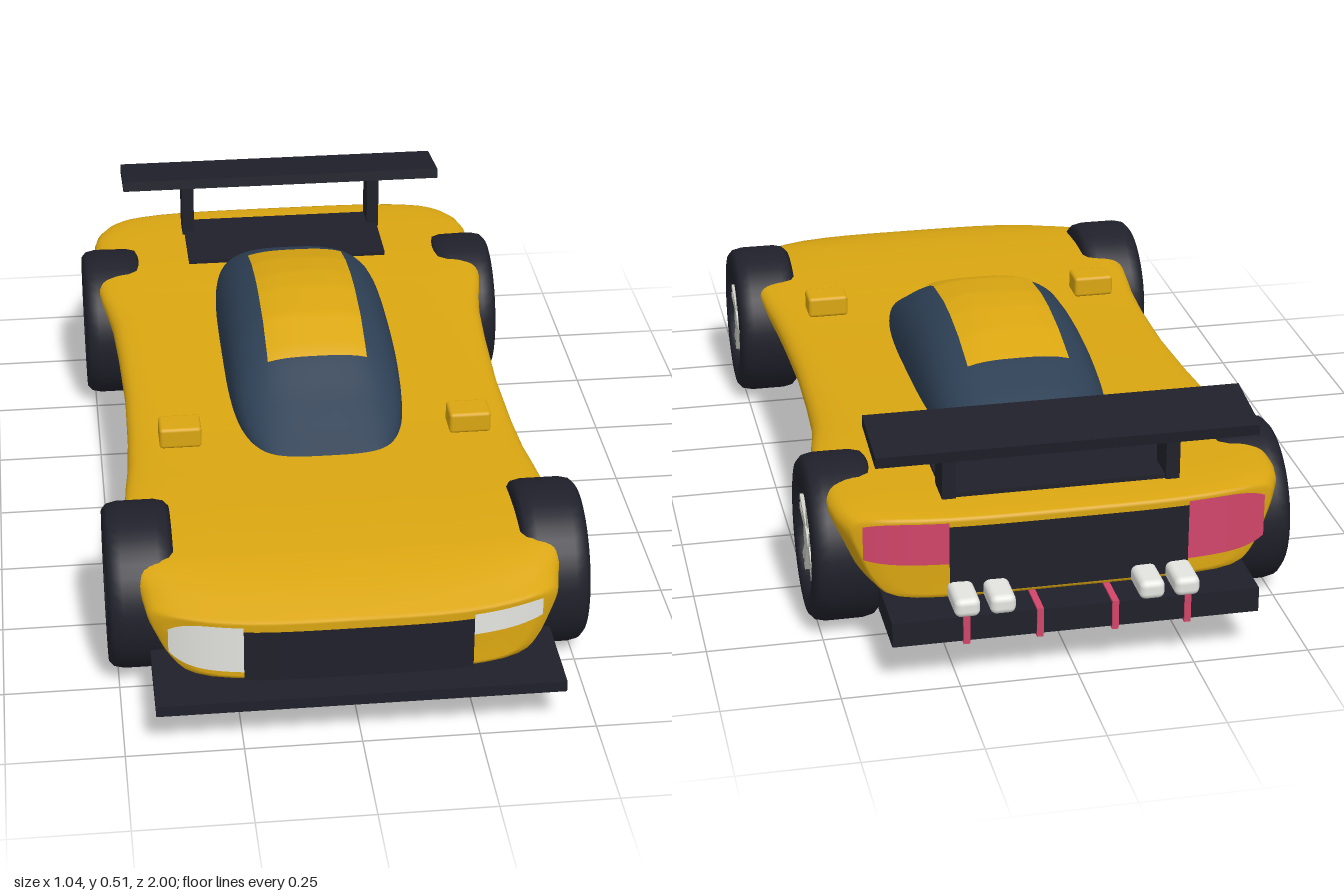
import * as THREE from 'three';
import { RoundedBoxGeometry } from 'three/addons/geometries/RoundedBoxGeometry.js';

const paint = (name, color) => {
  const m = new THREE.MeshStandardMaterial({ color });
  m.name = name;
  return m;
};
const yellow = paint('yellow paint', 0xdaa611);
const dark = paint('dark trim', 0x20202b);
const glass = paint('tinted glass', 0x2d3f54);
const white = paint('lamp white', 0xe4e4e0);
const metal = paint('wheel metal', 0xc8c8c0);
const pink = paint('pink red', 0xd2456a);

function add(parent, name, geo, mat, x = 0, y = 0, z = 0) {
  const m = new THREE.Mesh(geo, mat);
  m.name = name;
  m.position.set(x, y, z);
  parent.add(m);
  return m;
}
const box = (w, h, d) => new THREE.BoxGeometry(w, h, d);

// A grid whose vertices are placed by f(u, v) -> [x, y, z]
function sheet(nu, nv, f) {
  const g = new THREE.PlaneGeometry(1, 1, nu, nv);
  const p = g.attributes.position;
  for (let i = 0; i < p.count; i++) p.setXYZ(i, ...f(p.getX(i) + 0.5, p.getY(i) + 0.5));
  g.computeVertexNormals();
  return g;
}

// Linear lookup in a list of [key, value] with rising keys
function lookup(list, k) {
  for (let i = 1; i < list.length; i++) {
    const [a, va] = list[i - 1], [b, vb] = list[i];
    if (k <= b) return va + (vb - va) * Math.max(0, (k - a) / (b - a));
  }
  return list[list.length - 1][1];
}

// Body ends curve back towards the corners
const NOSE = 0.937, TAIL = -0.912;
const noseZ = (x) => NOSE - 2.5 * x ** 4;
const tailZ = (x) => TAIL + 1.2 * x ** 4;

function bodyGeometry() {
  // [z, half width, bottom, top]
  const rows = [
    [-0.905, 0.455, 0.16, 0.342], [-0.86, 0.475, 0.165, 0.348], [-0.78, 0.483, 0.18, 0.35],
    [-0.62, 0.485, 0.21, 0.35], [-0.52, 0.483, 0.2, 0.348], [-0.46, 0.475, 0.185, 0.345],
    [-0.4, 0.464, 0.155, 0.342], [-0.33, 0.455, 0.14, 0.339], [-0.2, 0.448, 0.138, 0.333],
    [0, 0.442, 0.138, 0.325], [0.2, 0.446, 0.138, 0.32], [0.32, 0.452, 0.142, 0.32],
    [0.4, 0.46, 0.16, 0.321], [0.47, 0.465, 0.19, 0.322], [0.62, 0.465, 0.21, 0.322],
    [0.74, 0.463, 0.185, 0.316], [0.82, 0.455, 0.15, 0.303], [0.88, 0.447, 0.135, 0.287],
    [0.925, 0.438, 0.128, 0.268],
  ];
  const half = new THREE.SplineCurve([
    [0, 0], [0.5, 0], [0.8, 0.02], [0.9, 0.2], [0.96, 0.5], [1, 0.77],
    [0.985, 0.9], [0.93, 0.97], [0.8, 1], [0.4, 1], [0, 1],
  ].map(([x, y]) => new THREE.Vector2(x, y))).getPoints(30);
  const loop = [...half, ...half.slice(1, -1).reverse().map((p) => new THREE.Vector2(-p.x, p.y))];
  // Shrinking rings close both ends
  const first = rows[0], last = rows[rows.length - 1];
  const caps = [0.98, 0.9, 0.75, 0.5, 0.25, 0.001];
  const rings = [
    ...caps.slice().reverse().map((s) => [TAIL, ...first.slice(1), s]),
    ...rows.map((r) => [...r, 1]),
    ...caps.map((s) => [NOSE, ...last.slice(1), s]),
  ];
  const pos = [], idx = [], n = loop.length;
  rings.forEach(([z, w, b, t, s], i) => {
    const mid = (b + t) / 2;
    const blend = THREE.MathUtils.smoothstep(Math.abs(z), 0.72, 0.91);
    loop.forEach((p, j) => {
      const x = p.x * w * s;
      const bend = (z > 0 ? -2.5 : 1.2) * x ** 4 * blend;
      pos.push(x, mid + (b + (t - b) * p.y - mid) * s, z + bend);
      if (i === rings.length - 1) return;
      const a = i * n + j, c = i * n + (j + 1) % n;
      idx.push(a, c, c + n, a, c + n, a + n);
    });
  });
  const g = new THREE.BufferGeometry();
  g.setAttribute('position', new THREE.Float32BufferAttribute(pos, 3));
  g.setIndex(idx);
  g.computeVertexNormals();
  return g;
}

// Cabin height and width along z
const BASE = 0.305, MIDZ = -0.1425, HALF = 0.5175;
const ridge = [[-0.66, 0.335], [-0.6, 0.378], [-0.5, 0.424], [-0.4, 0.463], [-0.3, 0.49],
  [-0.2, 0.504], [-0.12, 0.506], [0, 0.493], [0.1, 0.456], [0.2, 0.4], [0.3, 0.348], [0.375, 0.31]];
const cabinTop = (z) => lookup(ridge, z) - BASE;
const cabinHalf = (z) => 0.203 * Math.max(0, 1 - Math.abs((z - MIDZ) / HALF) ** 3.5) ** (1 / 3.5);

// Thin panel on the nose (dir 1) or tail (dir -1), rounded at its outer end
function endPanel(x0, x1, y0, y1, dir, round = 0) {
  const outer = Math.max(Math.abs(x0), Math.abs(x1));
  const inner = x0 * x1 < 0 ? 0 : Math.min(Math.abs(x0), Math.abs(x1));
  return sheet(16, 6, (u, v) => {
    const x = x0 + (x1 - x0) * (dir > 0 ? u : 1 - u);
    const t = Math.max(0, (Math.abs(x) - inner) / (outer - inner));
    const cut = round * (y1 - y0) * t ** 5;
    const y = y0 + cut + (y1 - y0 - 2 * cut) * v;
    return [x, y, dir > 0 ? noseZ(x) + 0.005 : tailZ(x) - 0.005];
  });
}

function makeWheel() {
  const wheel = new THREE.Group();
  const profile = [[0.118, -0.07], [0.165, -0.073], [0.177, -0.062], [0.182, -0.04], [0.182, 0.04],
    [0.177, 0.062], [0.165, 0.073], [0.124, 0.073], [0.118, 0.05], [0.118, -0.07]];
  const tyre = new THREE.LatheGeometry(profile.map((p) => new THREE.Vector2(...p)), 40);
  add(wheel, 'tyre', tyre.rotateZ(-Math.PI / 2), dark);
  const drum = new THREE.CylinderGeometry(0.12, 0.12, 0.1, 32).rotateZ(Math.PI / 2);
  add(wheel, 'wheelBack', drum, dark, -0.006);
  add(wheel, 'brakeCaliper', new RoundedBoxGeometry(0.016, 0.055, 0.06, 2, 0.007), pink, 0.046, 0.066, -0.048);
  for (const x of [0.058, -0.06]) {
    for (let i = 0; i < 5; i++) {
      for (const s of [-1, 1]) {
        const spoke = box(0.012, 0.098, 0.015).translate(0, 0.066, 0).rotateX(s * 0.12);
        add(wheel, 'spoke', spoke.rotateX(i * Math.PI * 0.4), metal, x);
      }
    }
    add(wheel, 'hub', new THREE.CylinderGeometry(0.026, 0.026, 0.02, 20).rotateZ(Math.PI / 2), metal, x);
  }
  return wheel;
}

export function createModel() {
  const car = new THREE.Group();
  car.name = 'raceCar';
  add(car, 'body', bodyGeometry(), yellow);

  // Underside and aero plates
  add(car, 'floor', box(0.72, 0.035, 1.66), dark, 0, 0.122, 0);
  add(car, 'chassis', box(0.64, 0.09, 1.62), dark, 0, 0.18, 0);
  add(car, 'frontSplitter', box(0.865, 0.025, 0.21), dark, 0, 0.108, 0.895);
  add(car, 'diffuser', box(0.78, 0.055, 0.17), dark, 0, 0.128, -0.903);
  add(car, 'rearDeck', box(0.5, 0.03, 0.24), dark, 0, 0.344, -0.705);

  // Nose and tail panels
  add(car, 'grille', endPanel(-0.243, 0.243, 0.128, 0.248, 1), dark);
  add(car, 'rightHeadlight', endPanel(-0.398, -0.243, 0.148, 0.258, 1, 0.25), white);
  add(car, 'leftHeadlight', endPanel(0.243, 0.398, 0.208, 0.258, 1, 0.1), white);
  add(car, 'tailPanel', endPanel(-0.255, 0.255, 0.17, 0.325, -1), dark);
  add(car, 'rightTailLight', endPanel(-0.43, -0.255, 0.2, 0.334, -1, 0.15), pink);
  add(car, 'leftTailLight', endPanel(0.255, 0.43, 0.24, 0.334, -1, 0.1), pink);

  // Glass cabin and roof panel
  add(car, 'cabin', sheet(40, 60, (u, v) => {
    const z = MIDZ + HALF * Math.cos(Math.PI * v);
    const a = Math.PI * (1 - u), c = Math.cos(a);
    return [cabinHalf(z) * Math.sign(c) * Math.abs(c) ** (2 / 3),
      BASE + cabinTop(z) * Math.abs(Math.sin(a)) ** (2 / 3), z];
  }), glass);
  add(car, 'roofPanel', sheet(12, 40, (u, v) => {
    const x = -0.115 + 0.23 * u, z = 0.12 - 0.525 * v;
    return [x, BASE + cabinTop(z) * (1 - Math.abs(x / cabinHalf(z)) ** 3) ** (1 / 3) + 0.005, z];
  }), yellow);

  // Rear wing
  add(car, 'wing', box(0.81, 0.025, 0.165), dark, 0, 0.49, -0.818).rotation.x = -0.14;

  for (const s of [-1, 1]) {
    add(car, 'wingPost', box(0.03, 0.145, 0.075), dark, s * 0.24, 0.415, -0.793);
    add(car, 'mirror', new RoundedBoxGeometry(0.095, 0.05, 0.07, 2, 0.008), yellow, s * 0.33, 0.355, 0.27);
    for (const x of [0.158, 0.233]) {
      add(car, 'exhaust', new RoundedBoxGeometry(0.054, 0.042, 0.1, 3, 0.014), white, s * x, 0.177, -0.948);
    }
    for (const x of [0.08, 0.235]) {
      add(car, 'diffuserFin', box(0.014, 0.066, 0.1), pink, s * x, 0.127, -0.942);
    }
    for (const z of [0.62, -0.62]) {
      const wheel = makeWheel();
      wheel.name = z > 0 ? 'frontWheel' : 'rearWheel';
      wheel.position.set(s * 0.447, 0.182, z);
      wheel.scale.x = s;
      car.add(wheel);
    }
  }
  return car;
}
